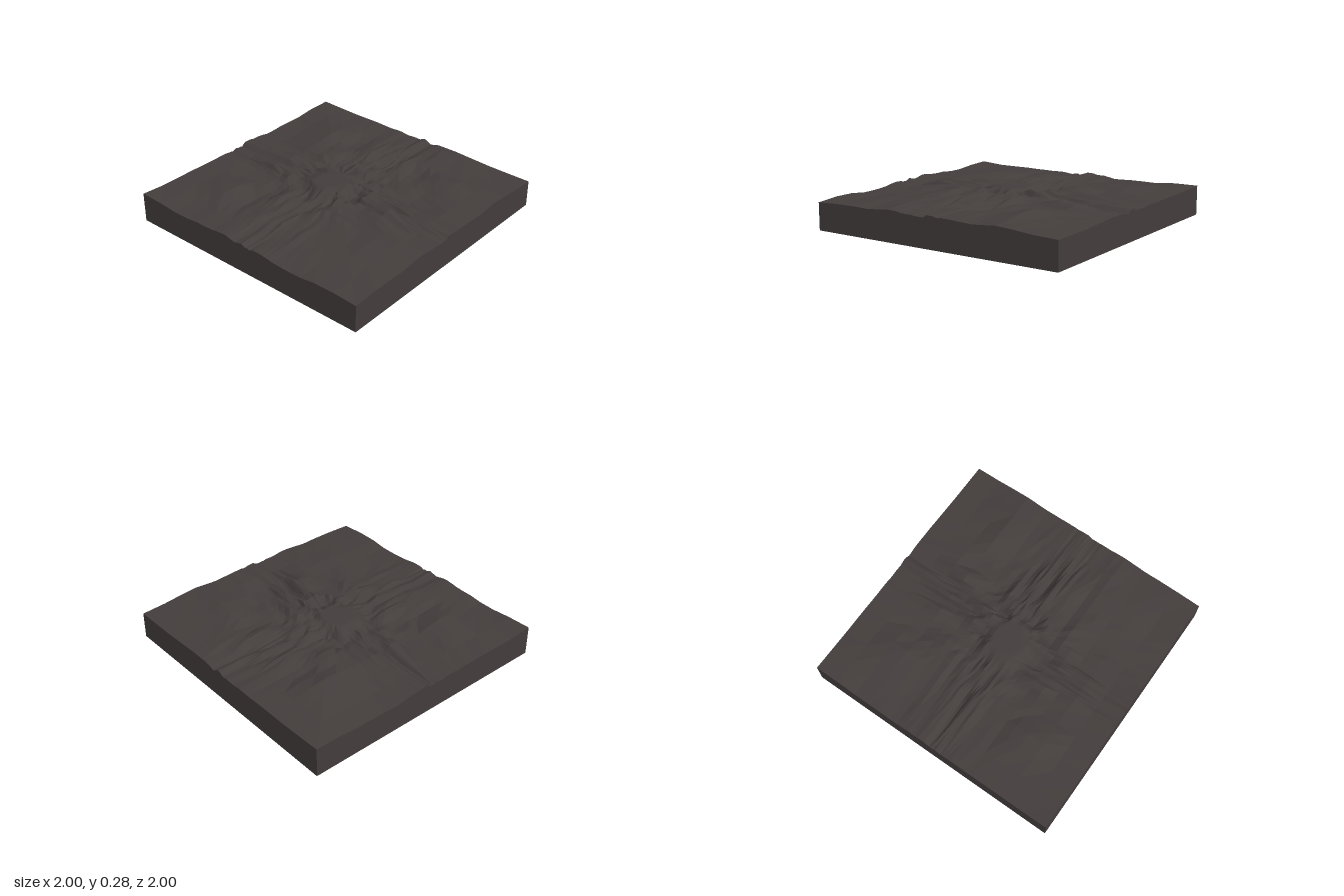
import * as THREE from 'three';

// Grid lines: geometric spacing outside, even and fine in the middle
const half = [];
for (let k = 0; k < 12; k++) half.push(Math.pow(0.81, k));
half.push(0.078, 0.058, 0.039, 0.019);
const LINES = [...half.map(v => -v), 0, ...half.slice().reverse()];
const N = LINES.length - 1;

// Highest ground along x and along z, as [position, height]
const CREST_X = [[-1, .235], [-.8, .225], [-.65, .28], [-.55, .265], [-.43, .28], [-.28, .245], [-.15, .28],
  [.1, .28], [.14, .265], [.2, .28], [.38, .265], [.52, .28], [.65, .258], [.8, .238], [.9, .235], [1, .227]];
const CREST_Z = [[-1, .23], [-.8, .236], [-.65, .252], [-.53, .275], [-.43, .265], [-.35, .272], [-.25, .266],
  [-.15, .28], [.15, .28], [.2, .268], [.28, .28], [.35, .266], [.53, .28], [.8, .246], [1, .234]];

function sample(points, t) {
  for (let i = 1; i < points.length; i++) {
    const [a, ha] = points[i - 1], [b, hb] = points[i];
    if (t <= b) return ha + (hb - ha) * (t - a) / (b - a);
  }
  return points[points.length - 1][1];
}

// Repeatable value noise
function hash(x, y) {
  const s = Math.sin(x * 127.1 + y * 311.7 + 4.2) * 43758.5453;
  return s - Math.floor(s);
}
function noise(x, y) {
  const i = Math.floor(x), j = Math.floor(y);
  const f = THREE.MathUtils.smoothstep(x - i, 0, 1), g = THREE.MathUtils.smoothstep(y - j, 0, 1);
  const { lerp } = THREE.MathUtils;
  return lerp(lerp(hash(i, j), hash(i + 1, j), f), lerp(hash(i, j + 1), hash(i + 1, j + 1), f), g);
}

// Ground height at a grid crossing
function height(i, j) {
  const { lerp, smoothstep } = THREE.MathUtils;
  const x = LINES[i], z = LINES[j];
  const cap = Math.min(sample(CREST_X, x), sample(CREST_Z, z));
  let n = 0.65 * noise(i * 0.38, j * 0.38) + 0.35 * noise(i * 0.8 + 30, j * 0.8 + 9);
  n = THREE.MathUtils.clamp((n - 0.5) * 1.5 + 0.55, 0, 1);
  // smooth plateau in the centre, calm corners that are higher at the back
  const plateau = 1 - smoothstep(Math.hypot(x + 0.02, z + 0.04), 0.1, 0.24);
  n = lerp(n, 0.9, plateau);
  const corner = smoothstep(Math.min(Math.abs(x), Math.abs(z)), 0.6, 1);
  n = lerp(n, z > 0 ? 0.15 : 0.9, corner);
  return lerp(0.2, cap, n);
}

export function createModel() {
  const group = new THREE.Group();
  const ground = new THREE.MeshStandardMaterial({ color: 0x433d3c, flatShading: true, side: THREE.DoubleSide });
  ground.name = 'dark rock';

  // Rugged ground surface
  const terrain = new THREE.PlaneGeometry(2, 2, N, N);
  const p = terrain.attributes.position;
  for (let j = 0; j <= N; j++) {
    for (let i = 0; i <= N; i++) p.setXYZ(j * (N + 1) + i, LINES[i], height(i, j), LINES[j]);
  }
  terrain.computeVertexNormals();
  const top = new THREE.Mesh(terrain, ground);
  top.name = 'terrain';
  group.add(top);

  // Four skirt walls following the edge of the ground, open underneath
  const sides = {
    frontWall: i => [i, N],
    leftWall: i => [N, N - i],
    backWall: i => [N - i, 0],
    rightWall: i => [0, i],
  };
  for (const [name, cell] of Object.entries(sides)) {
    const wall = new THREE.PlaneGeometry(2, 1, N, 1);
    const w = wall.attributes.position;
    for (let i = 0; i <= N; i++) {
      const [a, b] = cell(i);
      w.setXYZ(i, LINES[a], height(a, b), LINES[b]);
      w.setXYZ(N + 1 + i, LINES[a], 0, LINES[b]);
    }
    wall.computeVertexNormals();
    const mesh = new THREE.Mesh(wall, ground);
    mesh.name = name;
    group.add(mesh);
  }
  return group;
}
